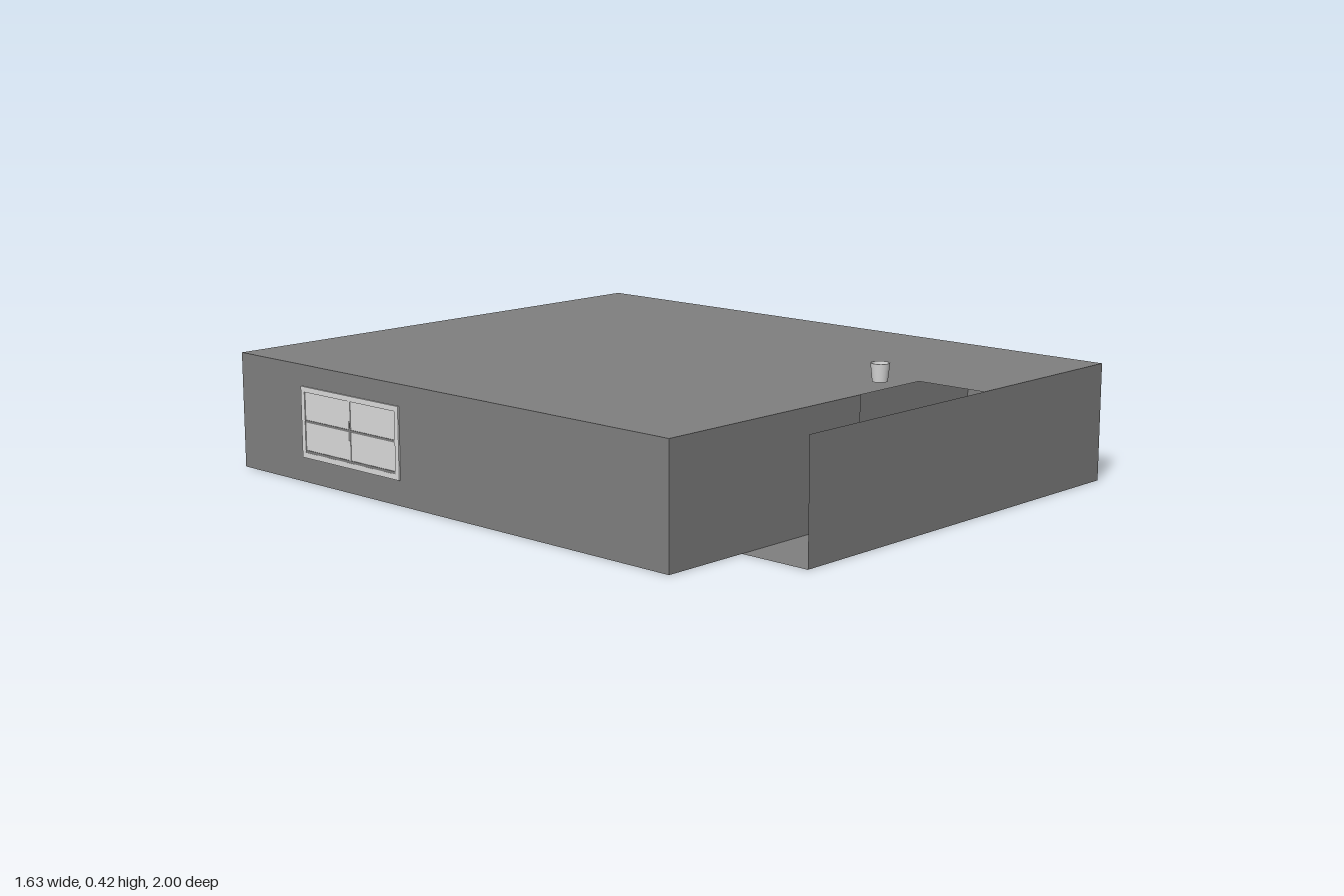
import * as THREE from 'three';

export function createModel() {
  const model = new THREE.Group();
  model.name = 'building';

  const wallGrey = new THREE.MeshStandardMaterial({ color: 0x808080, side: THREE.DoubleSide });
  wallGrey.name = 'wall grey';
  const paleGrey = new THREE.MeshStandardMaterial({ color: 0xdbdbdb, side: THREE.DoubleSide });
  paleGrey.name = 'pale grey';

  const X = 0.815, H = 0.355, DOOR = 0.28, YARD = 0.775, HALL = 0.52;

  function add(name, geometry, material, x = 0, y = 0, z = 0, parent = model) {
    const mesh = new THREE.Mesh(geometry, material);
    mesh.name = name;
    mesh.position.set(x, y, z);
    parent.add(mesh);
    return mesh;
  }
  const outline = (points) =>
    new THREE.ShapeGeometry(new THREE.Shape(points.map(([u, v]) => new THREE.Vector2(u, v))));

  // Horizontal sheet from a plan outline in x, z
  const slab = (name, points, y) => add(name, outline(points).rotateX(Math.PI / 2), wallGrey, 0, y, 0);

  // Upright sheet from a to b, with an optional doorway between d0 and d1
  function wallShape(a, b, door) {
    const foot = door ? [[door[0], 0], [door[0], DOOR], [door[1], DOOR], [door[1], 0]] : [];
    return outline([[a, 0], ...foot, [b, 0], [b, H], [a, H]]);
  }
  const wallAlongX = (name, a, b, z, door) => add(name, wallShape(a, b, door), wallGrey, 0, 0, z);
  const wallAlongZ = (name, a, b, x, door) =>
    add(name, wallShape(a, b, door).rotateY(-Math.PI / 2), wallGrey, x, 0, 0);

  // Floor and roof, with the yard left uncovered
  slab('floor', [[-X, -1], [X, -1], [X, 1], [-0.535, 1], [-0.535, YARD], [-X, YARD]], 0);
  slab('roof', [[-X, -1], [X, -1], [X, 1], [0.22, 1], [0.22, YARD], [-X, YARD]], H);

  // Outer walls
  wallAlongX('frontWall', -0.535, X, 1);
  wallAlongX('backWall', -X, X, -1, [-0.72, -0.51]);
  wallAlongZ('leftWall', -1, 1, X, [-0.56, -0.345]);
  wallAlongZ('rightWall', -1, YARD, -X);

  // Walls around the yard and the covered hall
  wallAlongX('yardWall', -X, -0.045, YARD);
  wallAlongZ('hallEndWall', HALL, YARD, -0.045);
  wallAlongX('hallBackWall', -0.045, X, HALL);

  // Inner partition
  wallAlongZ('partition', -0.415, HALL, -0.045);

  // Window on the right wall
  const win = new THREE.Group();
  win.name = 'window';
  win.position.set(-X, 0.183, -0.49);
  model.add(win);
  const w = 0.44, h = 0.215, bar = 0.016;
  add('glass', new THREE.BoxGeometry(0.004, h, w), paleGrey, 0, 0, 0, win);
  for (const s of [-1, 1]) {
    add('frameRail', new THREE.BoxGeometry(0.01, bar, w), paleGrey, 0, s * (h - bar) / 2, 0, win);
    add('frameStile', new THREE.BoxGeometry(0.01, h - 2 * bar, bar), paleGrey, 0, 0, s * (w - bar) / 2, win);
  }
  add('mullion', new THREE.BoxGeometry(0.008, h - 2 * bar, 0.01), paleGrey, 0, 0, 0, win);
  add('crossbar', new THREE.BoxGeometry(0.009, 0.007, w - 2 * bar), wallGrey, 0, 0.004, 0, win);
  add('centrePiece', new THREE.BoxGeometry(0.009, 0.06, 0.007), wallGrey, 0, 0.004, 0, win);
  add('lowerBar', new THREE.BoxGeometry(0.009, 0.012, w - 2 * bar), wallGrey, 0, -0.09, 0, win);

  // Small open cup above the roof
  const profile = [[0, 0], [0.022, 0], [0.022, 0], [0.028, 0.053], [0.028, 0.053],
    [0.025, 0.053], [0.025, 0.053], [0.02, 0.006], [0.02, 0.006], [0, 0.006]];
  add('cup', new THREE.LatheGeometry(profile.map(([r, y]) => new THREE.Vector2(r, y)), 32),
    paleGrey, 0.092, 0.368, 0.735);

  return model;
}
